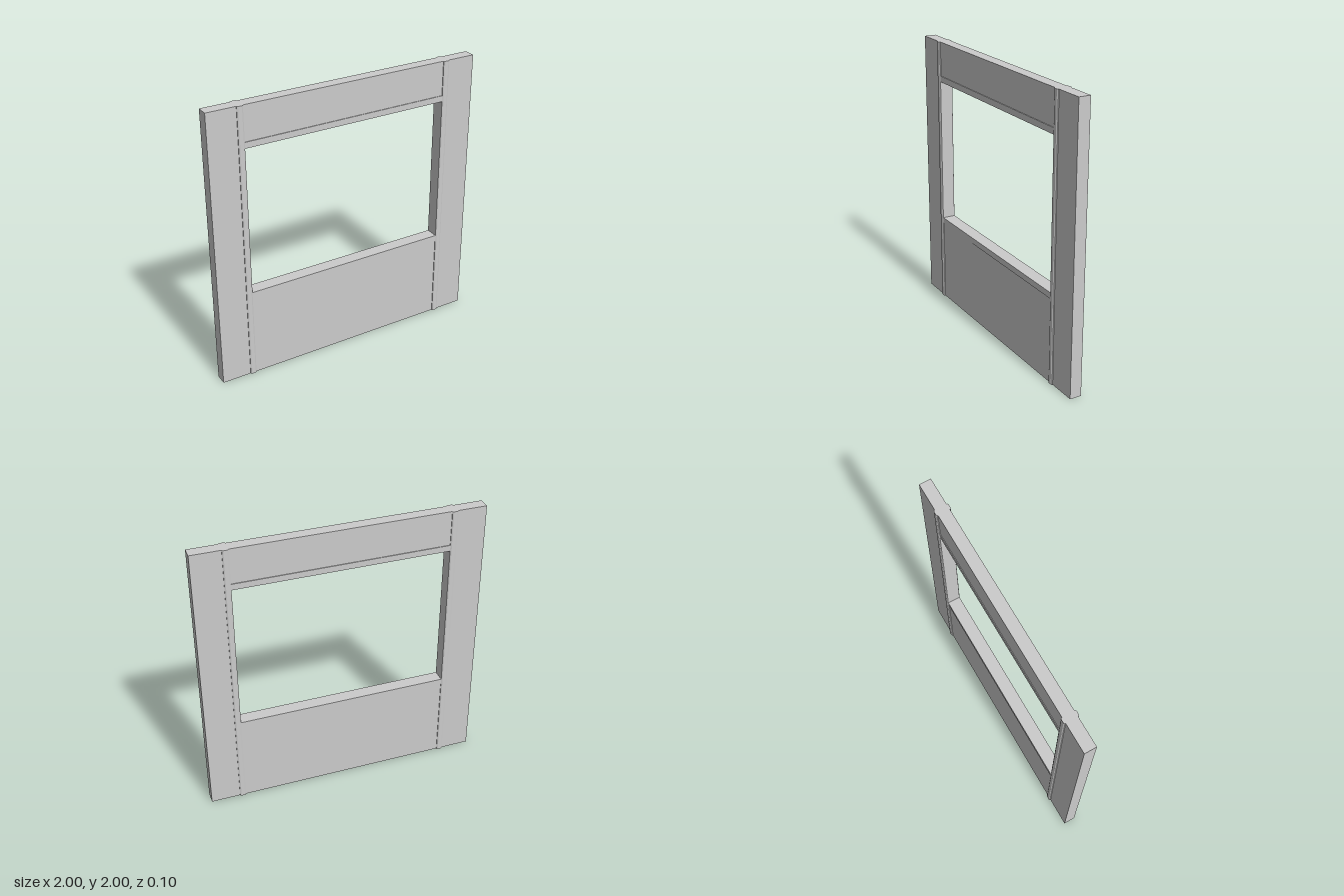
import * as THREE from 'three';

const HALF_WALL = 0.042;   // half thickness of the wall
const LIP = 0.047;         // face of the horizontal trim, edge of the vertical trim
const CROWN = 0.052;       // raised middle of the vertical trim
const OPEN_X = 0.75, OPEN_BOTTOM = 0.655, OPEN_TOP = 1.71, TRIM = 0.043;

const material = new THREE.MeshStandardMaterial({ color: 0xcccccc, flatShading: true });

function addMesh(group, name, geometry) {
  const mesh = new THREE.Mesh(geometry, material);
  mesh.name = name;
  group.add(mesh);
  return mesh;
}

export function createModel() {
  const group = new THREE.Group();
  group.name = 'windowWall';

  // Wall panel with the window opening
  const outline = new THREE.Shape([
    new THREE.Vector2(-1, 0), new THREE.Vector2(1, 0),
    new THREE.Vector2(1, 2), new THREE.Vector2(-1, 2),
  ]);
  outline.holes.push(new THREE.Path([
    new THREE.Vector2(-OPEN_X, OPEN_BOTTOM), new THREE.Vector2(-OPEN_X, OPEN_TOP),
    new THREE.Vector2(OPEN_X, OPEN_TOP), new THREE.Vector2(OPEN_X, OPEN_BOTTOM),
  ]));
  const wall = new THREE.ExtrudeGeometry(outline, { depth: 2 * HALF_WALL, bevelEnabled: false });
  wall.translate(0, 0, -HALF_WALL);
  addMesh(group, 'wallPanel', wall);

  // Full-height strip with softened edges; profile in (x, depth), extruded upwards
  const h = TRIM / 2, c = h - 0.009;
  const profile = new THREE.Shape([
    [-h, HALF_WALL], [h, HALF_WALL], [h, LIP], [c, CROWN], [-c, CROWN], [-h, LIP],
  ].map(([x, z]) => new THREE.Vector2(x, -z)));
  const strip = new THREE.ExtrudeGeometry(profile, { depth: 2, bevelEnabled: false });
  strip.rotateX(-Math.PI / 2);

  const rail = new THREE.BoxGeometry(2 * OPEN_X, TRIM, LIP - HALF_WALL);

  // Trim on both faces of the wall
  for (const [face, turn, dir] of [['front', 0, 1], ['back', Math.PI, -1]]) {
    for (const [side, sx] of [['Left', 1], ['Right', -1]]) {
      const post = addMesh(group, `${face}${side}PostTrim`, strip);
      post.position.x = sx * (OPEN_X + h);
      post.rotation.y = turn;
    }
    for (const [name, y] of [['Sill', OPEN_BOTTOM - h], ['Head', OPEN_TOP + h]]) {
      const trim = addMesh(group, `${face}${name}Trim`, rail);
      trim.position.set(0, y, dir * (HALF_WALL + LIP) / 2);
    }
  }
  return group;
}
